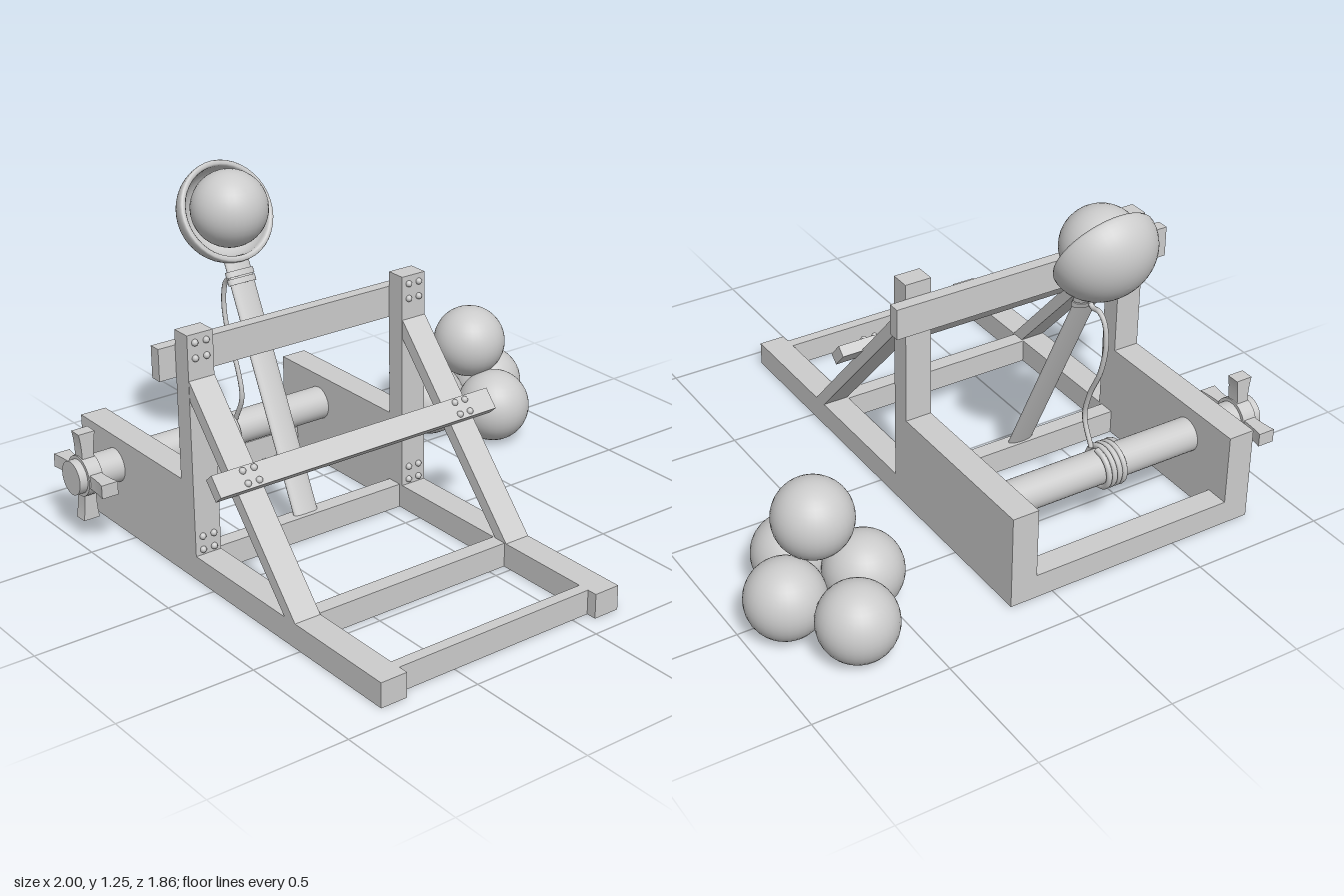
import * as THREE from 'three';

const wood = new THREE.MeshStandardMaterial({ color: 0xcccccc, flatShading: true });
const smooth = new THREE.MeshStandardMaterial({ color: 0xcccccc });
const double = new THREE.MeshStandardMaterial({ color: 0xcccccc, side: THREE.DoubleSide });

export function createModel() {
  const root = new THREE.Group();

  const add = (name, geometry, material, x = 0, y = 0, z = 0, parent = root) => {
    const mesh = new THREE.Mesh(geometry, material);
    mesh.name = name;
    mesh.position.set(x, y, z);
    parent.add(mesh);
    return mesh;
  };
  // Beam given by its limits on each axis
  const beam = (name, x0, x1, y0, y1, z0, z1) =>
    add(name, new THREE.BoxGeometry(x1 - x0, y1 - y0, z1 - z0), wood,
      (x0 + x1) / 2, (y0 + y1) / 2, (z0 + z1) / 2);

  // Four domed bolts on a plate; tilt leans their face upwards
  const boltGeometry = new THREE.SphereGeometry(0.012, 12, 8);
  const bolts = (name, x, y, z, height, tilt = 0) => {
    const group = new THREE.Group();
    group.name = name;
    group.position.set(x, y, z);
    group.rotation.x = -tilt;
    for (const dx of [-0.022, 0.022])
      for (const dy of [-height / 2, height / 2]) add('bolt', boltGeometry, smooth, dx, dy, 0, group);
    root.add(group);
  };

  // Side frames: rail, rear panel, post and sloping brace
  const braceShape = new THREE.Shape([
    [0.475, 0.09], [-0.1, 0.735], [-0.1, 0.665], [0.417, 0.09],
  ].map(([z, y]) => new THREE.Vector2(z, y)));
  const braceTilt = Math.atan2(0.575, 0.645);
  for (const [x0, x1] of [[-0.82, -0.72], [0.065, 0.165]]) {
    const xm = (x0 + x1) / 2;
    beam('baseRail', x0, x1, 0, 0.09, -0.845, 0.925);
    beam('rearPanel', x0, x1, 0.09, 0.355, -0.845, -0.175);
    beam('post', x0, x1, 0.09, 0.895, -0.177, -0.102);
    const brace = new THREE.ExtrudeGeometry(braceShape, { depth: x1 - x0, bevelEnabled: false });
    brace.rotateY(-Math.PI / 2);
    add('brace', brace, wood, x1);
    bolts('postTopBolts', xm, 0.838, -0.1, 0.055);
    bolts('postBaseBolts', xm, 0.135, -0.1, 0.05);
    bolts('braceBolts', xm, 0.485, 0.173, 0.045, braceTilt);
  }

  // Cross members of the base
  for (const [z0, z1] of [[0.845, 0.887], [0.407, 0.467], [-0.177, -0.117], [-0.845, -0.757]])
    beam('baseCrossbar', -0.72, 0.065, 0, 0.09, z0, z1);

  // Upper stop beam and the bar across the braces
  beam('stopBeam', -0.885, 0.225, 0.725, 0.84, -0.222, -0.177);
  const braceBar = add('braceBar', new THREE.BoxGeometry(1.15, 0.08, 0.042), wood, -0.33, 0.47, 0.158);
  braceBar.rotation.x = -braceTilt;

  // Winch axle
  const axleY = 0.243, axleZ = -0.614;
  const axle = add('axle', new THREE.CylinderGeometry(0.0625, 0.0625, 1.065, 32), smooth, -0.4675, axleY, axleZ);
  axle.rotation.z = Math.PI / 2;

  // Winch handle with four flared grips
  const handle = new THREE.Group();
  handle.name = 'winchHandle';
  handle.position.set(-0.942, axleY, axleZ);
  root.add(handle);
  const hub = add('handleHub', new THREE.CylinderGeometry(0.075, 0.075, 0.055, 24), smooth, 0, 0, 0, handle);
  hub.rotation.z = Math.PI / 2;
  const gripShape = new THREE.Shape();
  gripShape.moveTo(-0.024, 0.03);
  gripShape.lineTo(0.024, 0.03);
  gripShape.quadraticCurveTo(0.02, 0.11, 0.032, 0.166);
  gripShape.lineTo(-0.032, 0.166);
  gripShape.quadraticCurveTo(-0.02, 0.11, -0.024, 0.03);
  const gripGeometry = new THREE.ExtrudeGeometry(gripShape, { depth: 0.05, bevelEnabled: false });
  gripGeometry.translate(0, 0, -0.025);
  for (let i = 0; i < 4; i++) {
    const grip = add('handleGrip', gripGeometry, smooth, 0, 0, 0, handle);
    grip.rotation.x = i * Math.PI / 2;
  }

  // Rope coiled on the axle, then slack up to the arm
  const turns = 4;
  const coil = [];
  for (let i = 0; i <= turns * 12; i++) {
    const a = (i / 12) * Math.PI * 2;
    coil.push(new THREE.Vector3(-0.415 + 0.085 * i / (turns * 12),
      axleY + 0.072 * Math.cos(a), axleZ + 0.072 * Math.sin(a)));
  }
  add('ropeCoil', new THREE.TubeGeometry(new THREE.CatmullRomCurve3(coil), 160, 0.011, 8), smooth);
  const slack = [[0.3, -0.575], [0.4, -0.53], [0.5, -0.55], [0.62, -0.605], [0.74, -0.628],
    [0.82, -0.612], [0.845, -0.58], [0.842, -0.545], [0.865, -0.515]]
    .map(([y, z]) => new THREE.Vector3(-0.335, y, z));
  add('rope', new THREE.TubeGeometry(new THREE.CatmullRomCurve3(slack), 60, 0.009, 8), smooth);

  // Throwing arm: flattened shaft with binding rings at the top
  const arm = new THREE.Group();
  arm.name = 'throwingArm';
  arm.position.set(-0.333, 0.085, -0.147);
  arm.rotation.x = -0.439;
  root.add(arm);
  const shaft = new THREE.CylinderGeometry(0.05, 0.05, 0.94, 24);
  shaft.scale(1, 1, 0.32);
  add('armShaft', shaft, smooth, 0, 0.47, 0, arm);
  for (const y of [0.853, 0.88]) {
    const ring = new THREE.CylinderGeometry(0.057, 0.057, 0.022, 24);
    ring.scale(1, 1, 0.42);
    add('armBinding', ring, smooth, 0, y, 0, arm);
  }

  // Bowl: outer wall, rounded rim and inner wall in one profile
  const profile = [];
  for (let i = 0; i <= 16; i++) {
    const a = (i / 16) * Math.PI / 2;
    profile.push(new THREE.Vector2(0.185 * Math.sin(a), -0.16 * Math.cos(a)));
  }
  profile.push(new THREE.Vector2(0.181, 0.008), new THREE.Vector2(0.169, 0.008));
  for (let i = 16; i >= 0; i--) {
    const a = (i / 16) * Math.PI / 2;
    profile.push(new THREE.Vector2(0.163 * Math.sin(a), -0.142 * Math.cos(a)));
  }
  const bowl = add('bowl', new THREE.LatheGeometry(profile, 40), double, -0.325, 1.088, -0.6);
  bowl.rotation.x = 1.074;

  // Loaded ball and the stack beside the machine
  const ball = new THREE.SphereGeometry(0.139, 32, 20);
  add('loadedBall', ball, smooth, -0.322, 1.1, -0.59);
  for (const [x, y, z] of [[0.715, 0.139, -0.793], [0.567, 0.139, -0.572], [0.856, 0.139, -0.572],
    [0.724, 0.139, -0.37], [0.714, 0.366, -0.508]])
    add('stackedBall', ball, smooth, x, y, z);

  return root;
}
